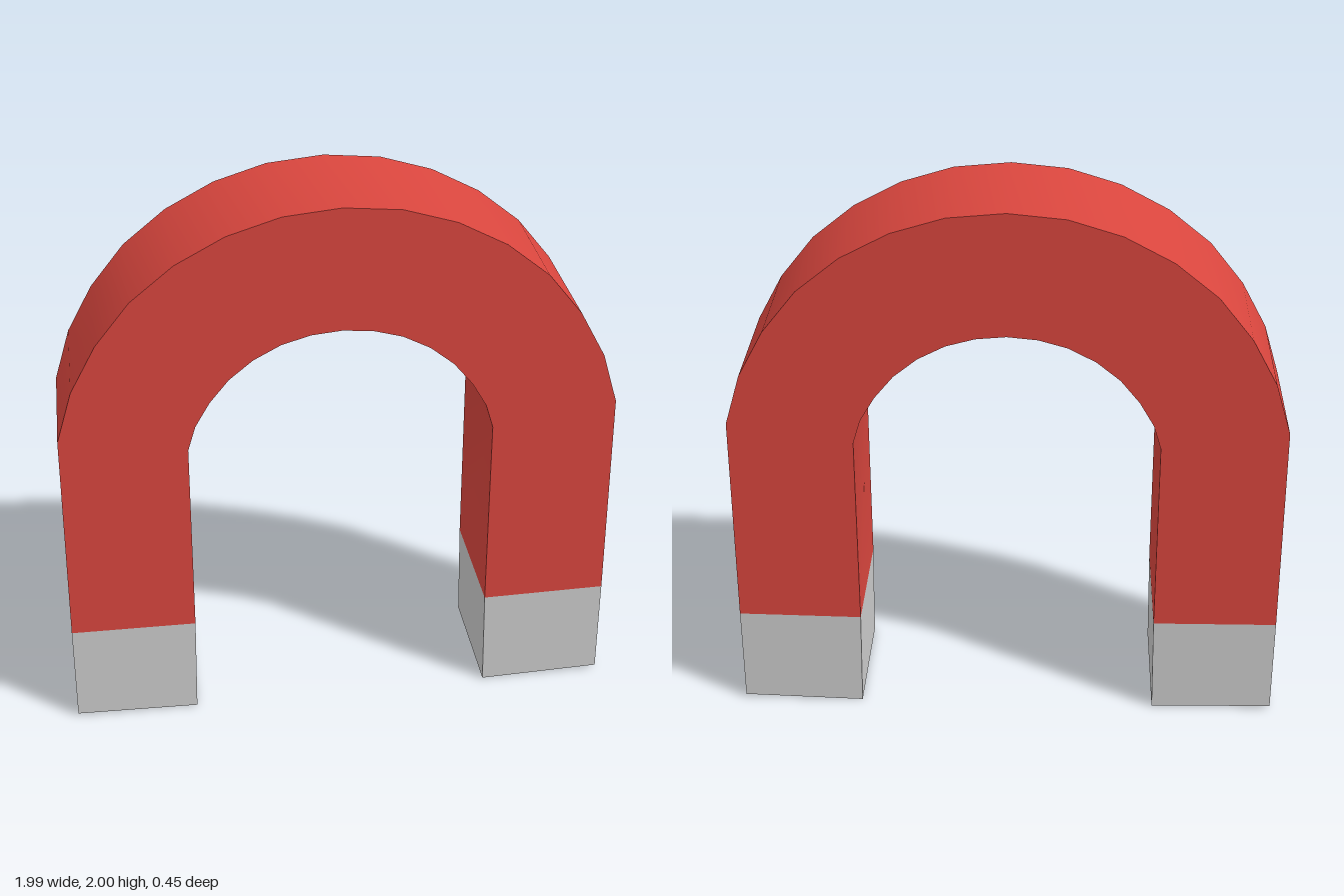
import * as THREE from 'three';
import { toCreasedNormals } from 'three/addons/utils/BufferGeometryUtils.js';

const DEPTH = 0.452;

// Right half of the arch, from the leg end up to the crown
const OUTER = [[0.99, 0.39], [0.975, 1.2], [0.917, 1.388], [0.825, 1.557], [0.703, 1.71], [0.552, 1.833], [0.382, 1.924], [0.198, 1.981], [0, 2]];
const INNER = [[0.541, 0.385], [0.535, 1.13], [0.507, 1.222], [0.455, 1.312], [0.387, 1.396], [0.303, 1.465], [0.207, 1.516], [0.106, 1.545], [0, 1.555]];

// Whole curve from the +x leg over the crown to the -x leg
const mirrored = (half) => [...half, ...half.slice(0, -1).reverse().map(([x, y]) => [-x, y])];

// Flat outline extruded evenly about z = 0, with smooth rims and sharp edges
function slab(name, points, color) {
  const shape = new THREE.Shape(points.map(([x, y]) => new THREE.Vector2(x, y)));
  const geometry = new THREE.ExtrudeGeometry(shape, { depth: DEPTH, bevelEnabled: false });
  geometry.translate(0, 0, -DEPTH / 2);
  const mesh = new THREE.Mesh(toCreasedNormals(geometry, 0.6), new THREE.MeshStandardMaterial({ color }));
  mesh.name = name;
  return mesh;
}

export function createModel() {
  const group = new THREE.Group();
  group.name = 'horseshoeMagnet';

  // Red horseshoe body
  group.add(slab('body', [...mirrored(OUTER), ...mirrored(INNER).reverse()], 0xd9463e));

  // Grey pole tips, slightly splayed
  for (const [name, side] of [['leftTip', 1], ['rightTip', -1]]) {
    const tip = [[0.55, 0], [0.995, 0.012], OUTER[0], INNER[0]];
    group.add(slab(name, tip.map(([x, y]) => [side * x, y]), 0xcccccc));
  }
  return group;
}
